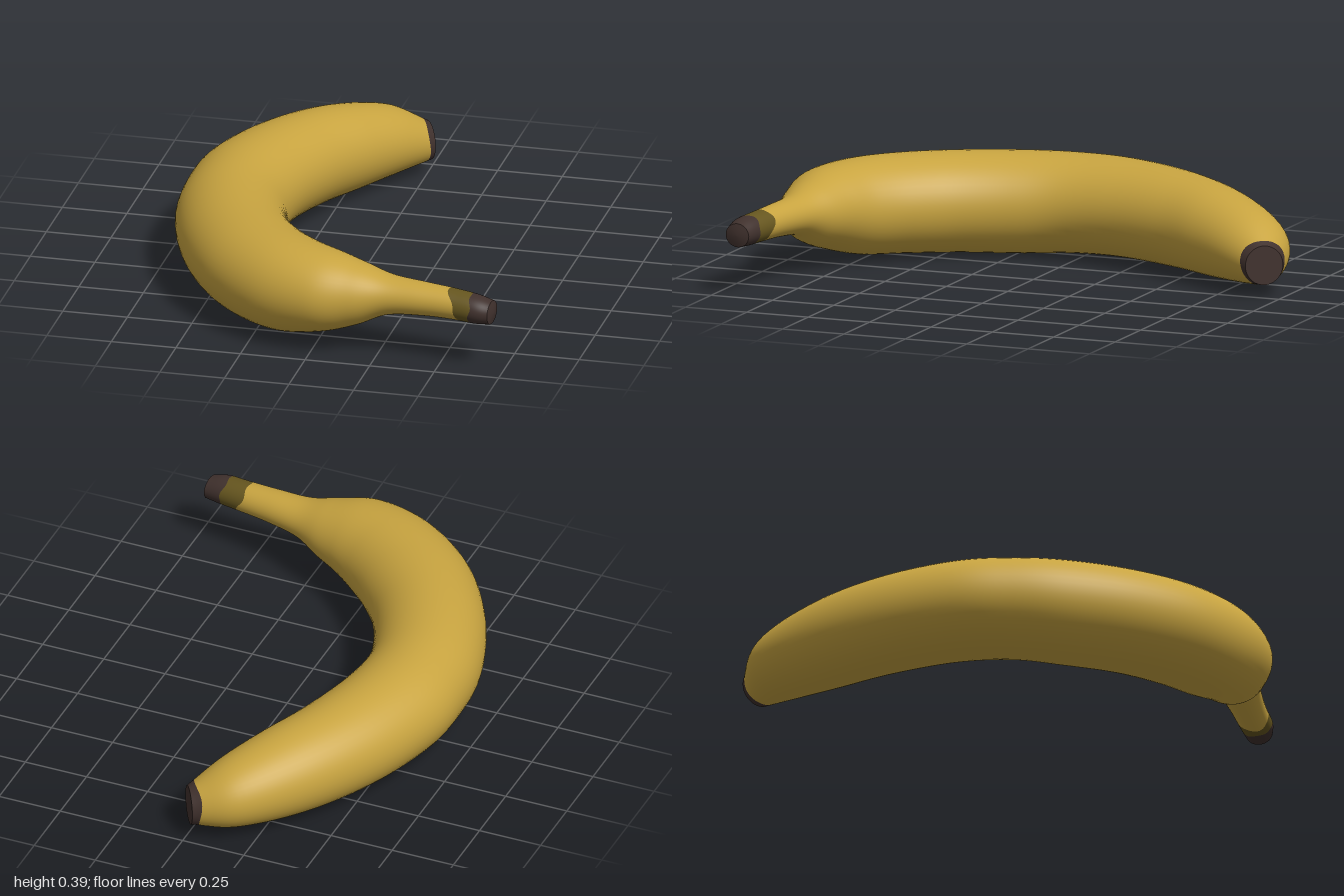
import * as THREE from 'three';

// Stations along the fruit, blossom tip to stem:
// outer x, outer z, inner x, inner z, top y, bottom y
const STATIONS = [
  [-0.04, -1.0, 0.04, -0.88, 0.2, 0.05],
  [-0.22, -0.95, -0.03, -0.74, 0.288, 0.026],
  [-0.43, -0.74, -0.11, -0.59, 0.345, 0.01],
  [-0.6, -0.47, -0.2, -0.41, 0.373, 0.01],
  [-0.7, -0.19, -0.275, -0.18, 0.387, 0.014],
  [-0.715, 0.03, -0.3, 0.03, 0.39, 0.01],
  [-0.69, 0.25, -0.26, 0.21, 0.39, 0.0],
  [-0.595, 0.51, -0.18, 0.385, 0.39, 0.004],
  [-0.44, 0.75, -0.075, 0.52, 0.39, 0.01],
  [-0.23, 0.92, 0.02, 0.61, 0.387, 0.022],
  [-0.01, 0.99, 0.11, 0.67, 0.373, 0.063],
  [0.15, 0.967, 0.2, 0.715, 0.343, 0.105],
  [0.28, 0.935, 0.3, 0.765, 0.312, 0.158],
  [0.42, 0.938, 0.43, 0.8, 0.303, 0.175],
  [0.54, 0.95, 0.56, 0.827, 0.296, 0.179],
  [0.635, 0.967, 0.65, 0.847, 0.288, 0.178],
  [0.695, 0.963, 0.71, 0.863, 0.272, 0.182],
];
const LAST = STATIONS.length - 1;
const SIDES = 48;

const curve = (pick) => new THREE.CatmullRomCurve3(
  STATIONS.map((s) => new THREE.Vector3(...pick(s))), false, 'catmullrom', 0.5);
const outer = curve((s) => [s[0], 0, s[1]]);
const inner = curve((s) => [s[2], 0, s[3]]);
const heights = curve((s) => [s[4], s[5], 0]);

// Skin point at station u and angle a (0 = outside of the bend, PI/2 = top)
function skinPoint(u, a, scale = 1) {
  const t = THREE.MathUtils.clamp(u / LAST, 0, 1);
  const o = outer.getPoint(t), i = inner.getPoint(t), h = heights.getPoint(t);
  const p = o.clone().add(i).multiplyScalar(0.5);
  p.addScaledVector(o.sub(i), 0.5 * scale * Math.cos(a));
  p.y = (h.x + h.y) / 2 + ((h.x - h.y) / 2) * scale * Math.sin(a);
  return p;
}

// Closed-around surface with rows of rings, given by point(row fraction, angle)
function ringSurface(name, material, rows, point) {
  const positions = [], index = [];
  for (let r = 0; r <= rows; r++) {
    for (let s = 0; s < SIDES; s++) {
      positions.push(...point(r / rows, (s / SIDES) * Math.PI * 2).toArray());
      if (r === rows) continue;
      const a = r * SIDES + s, b = r * SIDES + ((s + 1) % SIDES);
      index.push(a, a + SIDES, b, b, a + SIDES, b + SIDES);
    }
  }
  const geometry = new THREE.BufferGeometry();
  geometry.setAttribute('position', new THREE.Float32BufferAttribute(positions, 3));
  geometry.setIndex(index);
  geometry.computeVertexNormals();
  const mesh = new THREE.Mesh(geometry, material);
  mesh.name = name;
  return mesh;
}

export function createModel() {
  const peel = new THREE.MeshStandardMaterial({ color: 0xc8a440 });
  peel.name = 'yellow peel';
  const olive = new THREE.MeshStandardMaterial({ color: 0x66561f });
  olive.name = 'olive stem band';
  const dark = new THREE.MeshStandardMaterial({ color: 0x40312d });
  dark.name = 'dark brown ends';

  // Uneven colour borders around the fruit
  const tipEdge = (a) => 0.19 + 0.03 * Math.sin(3 * a);
  const bandStart = (a) => 14.05 + 0.25 * Math.cos(a + 1) + 0.05 * Math.sin(4 * a);
  const bandEnd = (a) => 14.8 + 0.08 * Math.sin(2 * a + 1) + 0.04 * Math.sin(5 * a);
  const section = (name, material, rows, from, to) => ringSurface(name, material, rows,
    (f, a) => skinPoint(THREE.MathUtils.lerp(from(a), to(a), f), a));

  const group = new THREE.Group();
  group.name = 'banana';
  group.add(
    section('blossomTip', dark, 4, () => 0, tipEdge),
    section('body', peel, 110, tipEdge, bandStart),
    section('stemBand', olive, 8, bandStart, bandEnd),
    section('stemEnd', dark, 10, bandEnd, () => LAST),
    // Closing faces, the stem one slightly domed
    ringSurface('tipCap', dark, 3, (f, a) => skinPoint(0, a, f)),
    ringSurface('stemCap', dark, 4, (f, a) => {
      const p = skinPoint(LAST, a, 1 - f);
      p.x += 0.008 * Math.sin(f * Math.PI / 2);
      return p;
    }),
  );
  return group;
}
